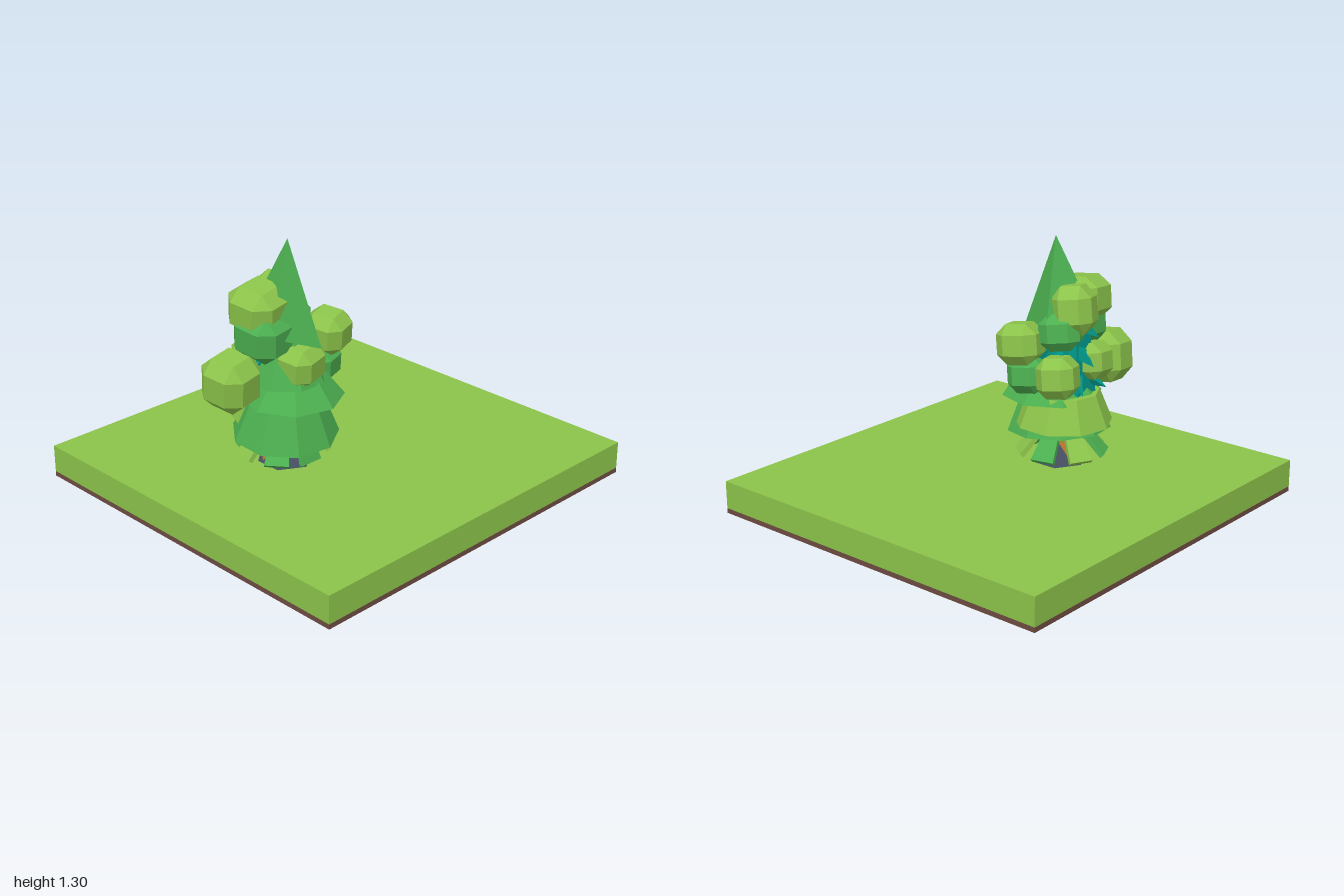
import * as THREE from 'three';
import { ConvexGeometry } from 'three/addons/geometries/ConvexGeometry.js';

const paint = (color, side = THREE.FrontSide) =>
  new THREE.MeshStandardMaterial({ color, flatShading: true, side });
const GREEN = paint(0x4caf50);
const LIME = paint(0x8bc34a);
const TEAL = paint(0x009688);
const ORANGE = paint(0xc67c37);
const SLATE = paint(0x4a5568);
const SOIL = paint(0x6d4c41);

export function createModel() {
  const model = new THREE.Group();
  const tree = new THREE.Group();
  tree.name = 'treeCluster';

  const add = (parent, name, geometry, material, x = 0, y = 0, z = 0) => {
    const mesh = new THREE.Mesh(geometry, material);
    mesh.name = name;
    mesh.position.set(x, y, z);
    parent.add(mesh);
    return mesh;
  };

  // Ground slab: thin soil layer under thick turf
  add(model, 'soil', new THREE.BoxGeometry(2, 0.025, 1.93), SOIL, 0, 0.0125, 0);
  add(model, 'turf', new THREE.BoxGeometry(2, 0.14, 1.93), LIME, 0, 0.095, 0);

  // Trunks
  add(tree, 'slateTrunk', new THREE.CylinderGeometry(0.08, 0.14, 0.2, 6), SLATE, -0.275, 0.26, -0.07);
  add(tree, 'orangeTrunk', new THREE.CylinderGeometry(0.1, 0.11, 0.3, 7), ORANGE, -0.285, 0.31, -0.085);

  // Skirt tiers: name, material, top radius, bottom radius, bottom y, top y, x, z, sides, turn, tilt
  const tiers = [
    ['lowerSkirt', GREEN, 0.18, 0.26, 0.325, 0.52, -0.303, -0.04, 9, 0.2, [0.06, 0.03]],
    ['limeSkirt', LIME, 0.18, 0.245, 0.38, 0.54, -0.262, -0.105, 9, 0.5, [0, 0]],
    ['middleSkirt', GREEN, 0.14, 0.25, 0.51, 0.65, -0.265, -0.03, 8, 0.1, [0, 0]],
    ['upperSkirt', GREEN, 0.1, 0.19, 0.61, 0.82, -0.29, -0.04, 8, 0.4, [0, 0]],
  ];
  for (const [name, mat, r1, r2, y0, y1, x, z, sides, turn, tilt] of tiers) {
    const skirt = add(tree, name, new THREE.CylinderGeometry(r1, r2, y1 - y0, sides), mat, x, (y0 + y1) / 2, z);
    skirt.rotation.set(tilt[0], turn, tilt[1]);
  }

  // Flared leaf petals below the skirts
  const petalShape = new THREE.BoxGeometry(0.12, 0.15, 0.025);
  const p = petalShape.attributes.position;
  for (let i = 0; i < p.count; i++) {
    if (p.getY(i) > 0) p.setX(i, p.getX(i) * 0.7);
  }
  for (let i = 0; i < 7; i++) {
    const a = (i / 7) * Math.PI * 2;
    const petal = add(tree, 'petal' + i, petalShape, i % 2 ? LIME : GREEN,
      -0.277 + Math.sin(a) * 0.165, 0.275, -0.085 + Math.cos(a) * 0.165);
    petal.rotation.set(i === 0 ? -0.3 : -0.75, a, 0, 'YXZ');
  }

  // Four-sided peak with an uneven base
  const peak = [
    [-0.285, 1.3, -0.03], [-0.09, 0.88, -0.13], [-0.235, 0.79, 0.14],
    [-0.45, 0.87, 0.03], [-0.36, 0.9, -0.22],
  ].map((v) => new THREE.Vector3(...v));
  add(tree, 'peak', new ConvexGeometry(peak), GREEN);

  // Faceted foliage: cube with bevelled edges and corners
  const corners = [];
  for (const sx of [-1, 1]) for (const sy of [-1, 1]) for (const sz of [-1, 1]) {
    corners.push(new THREE.Vector3(sx, sy * 0.5, sz * 0.5));
    corners.push(new THREE.Vector3(sx * 0.5, sy, sz * 0.5));
    corners.push(new THREE.Vector3(sx * 0.5, sy * 0.5, sz));
  }
  const puffShape = new ConvexGeometry(corners);
  // material, centre, half sizes, turn
  const puffs = [
    [LIME, [-0.57, 0.65, -0.12], [0.12, 0.13, 0.125], 0.15],
    [LIME, [-0.07, 0.8, 0.01], [0.1, 0.1, 0.105], 0.3],
    [LIME, [-0.4, 0.98, -0.1], [0.135, 0.11, 0.13], 0.15],
    [LIME, [-0.26, 0.96, -0.17], [0.115, 0.12, 0.1], 0.4],
    [GREEN, [-0.4, 0.86, -0.07], [0.13, 0.12, 0.13], 0.1],
    [LIME, [-0.285, 0.71, 0.05], [0.11, 0.1, 0.1], 0.2],
    [GREEN, [-0.1, 0.645, -0.02], [0.095, 0.09, 0.095], 0.25],
    [LIME, [-0.11, 0.66, -0.19], [0.1, 0.1, 0.095], 0.35],
    [LIME, [-0.36, 0.69, -0.2], [0.1, 0.09, 0.09], 0.1],
    [GREEN, [-0.19, 0.86, -0.14], [0.09, 0.09, 0.1], 0.5],
  ];
  puffs.forEach(([mat, centre, size, turn], i) => {
    const puff = add(tree, 'foliage' + i, puffShape, mat, ...centre);
    puff.scale.set(...size);
    puff.rotation.set(0.12, turn, 0.08);
  });

  // Teal shards poking out between the foliage
  const shardShape = new THREE.ConeGeometry(0.055, 0.14, 4);
  shardShape.rotateX(Math.PI / 2);
  for (let level = 0; level < 3; level++) {
    for (let i = 0; i < 7; i++) {
      const a = ((i + level * 0.4) / 7) * Math.PI * 2;
      const r = 0.15 - level * 0.015;
      const shard = add(tree, 'tealShard', shardShape, TEAL,
        -0.27 + Math.sin(a) * r, 0.6 + level * 0.13, -0.1 + Math.cos(a) * r);
      shard.rotation.set(0.5, a, i * 0.7, 'YXZ');
    }
  }
  add(tree, 'tealCore', new THREE.CylinderGeometry(0.12, 0.16, 0.4, 7), TEAL, -0.28, 0.74, -0.09);

  model.add(tree);
  return model;
}
